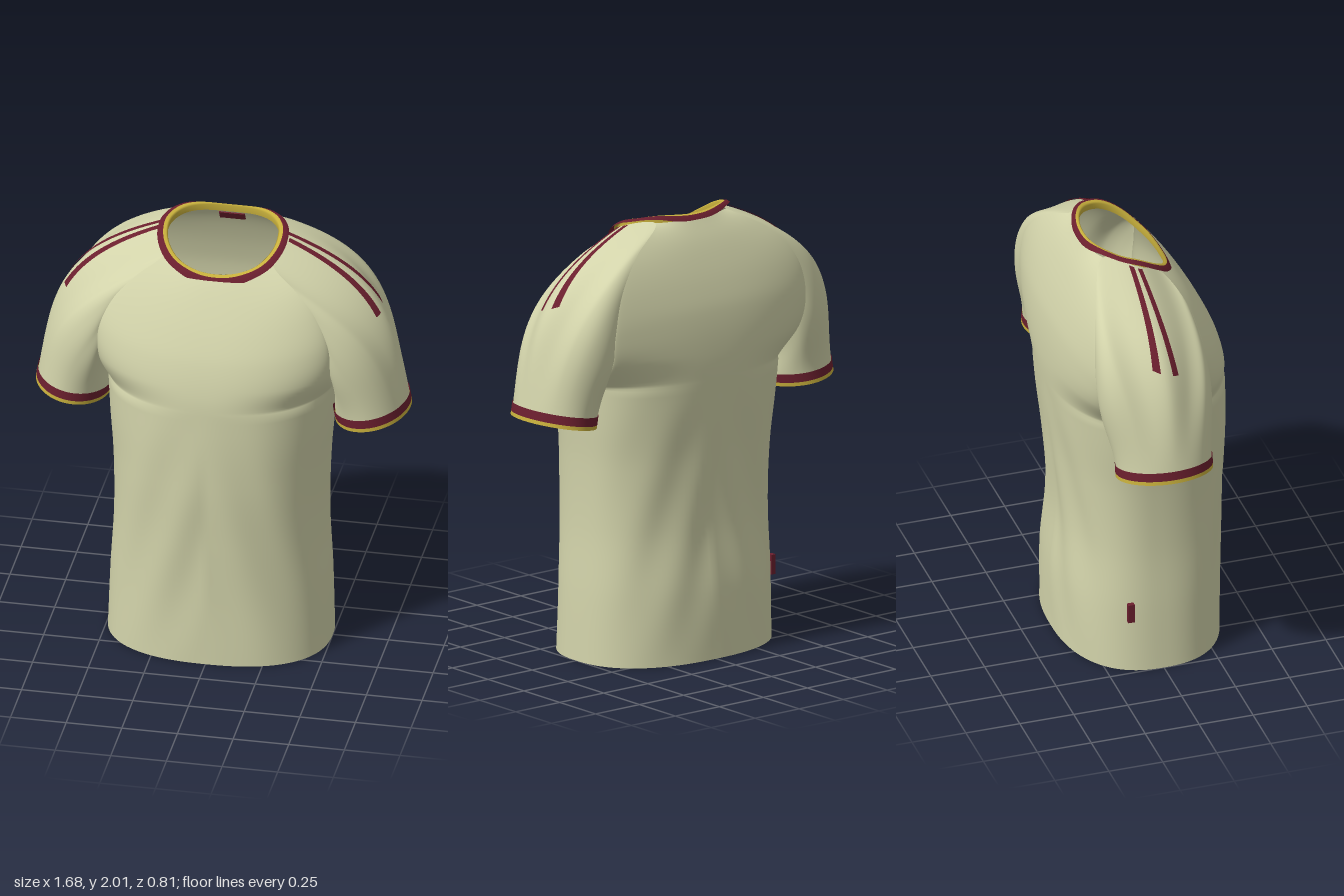
import * as THREE from 'three';
import { mergeVertices } from 'three/addons/utils/BufferGeometryUtils.js';

const V = (x, y, z) => new THREE.Vector3(x, y, z);
const lerp = THREE.MathUtils.lerp;
const cloth = new THREE.MeshStandardMaterial({ color: 0xd2d3aa, side: THREE.DoubleSide });
const red = new THREE.MeshStandardMaterial({ color: 0x6b1f2e, side: THREE.DoubleSide });
const yellow = new THREE.MeshStandardMaterial({ color: 0xc8b03c, side: THREE.DoubleSide });

// Smooth curve through [key, value] pairs
function profile(pairs) {
  const c = new THREE.CubicInterpolant(pairs.map(p => p[0]), pairs.map(p => p[1]), 1);
  return k => c.evaluate(k)[0];
}

// Positions and faces of a rows x cols sheet, f(r, c) with r and c in 0..1
function sheet(f, rows, cols, pos = [], idx = []) {
  const base = pos.length / 3, w = cols + 1;
  for (let i = 0; i <= rows; i++)
    for (let j = 0; j <= cols; j++) pos.push(...f(i / rows, j / cols).toArray());
  for (let i = 0; i < rows; i++)
    for (let j = 0; j < cols; j++) {
      const a = base + i * w + j;
      idx.push(a, a + 1, a + w, a + 1, a + w + 1, a + w);
    }
  return { pos, idx };
}

function makeMesh(name, { pos, idx }, material) {
  let g = new THREE.BufferGeometry();
  g.setAttribute('position', new THREE.Float32BufferAttribute(pos, 3));
  g.setIndex(idx);
  g = mergeVertices(g, 1e-4);
  g.computeVertexNormals();
  const m = new THREE.Mesh(g, material);
  m.name = name;
  return m;
}

// Torso profiles by height
const frontZ = profile([[0, .37], [.3, .372], [.6, .385], [.9, .4], [1.2, .402], [1.35, .393],
  [1.5, .355], [1.6, .31], [1.7, .253], [1.8, .185], [1.83, .16]]);
const backZ = profile([[0, -.365], [.3, -.36], [.6, -.34], [.9, -.355], [1.2, -.387], [1.4, -.4],
  [1.6, -.385], [1.7, -.36], [1.8, -.325], [1.9, -.28], [1.985, -.228]]);
const halfWidth = profile([[0, .5], [.3, .49], [.6, .475], [.9, .48], [1.1, .495], [1.27, .505]]);
const UNDERARM = 1.27;

// Raglan seam loop of one armhole: position, sleeve direction, matching cuff angle
const seam = [
  [V(.278, 1.958, -.05), V(.5, -.2, 0), 0],        // shoulder at the neck
  [V(.24, 1.893, .065), V(.42, -.2, .06), 20],     // front of the neck
  [V(.36, 1.8, .14), V(.32, -.2, .05), 40],
  [V(.45, 1.7, .17), V(.2, -.2, .04), 60],
  [V(.515, 1.55, .185), V(.08, -.15, .02), 85],
  [V(.52, 1.4, .16), V(.03, -.1, 0), 120],
  [V(.505, UNDERARM, -.06), V(.01, -.06, 0), 180], // underarm
  [V(.525, 1.4, -.28), V(.03, -.1, 0), 240],
  [V(.54, 1.55, -.325), V(.08, -.15, -.02), 275],
  [V(.5, 1.73, -.32), V(.2, -.17, -.04), 300],
  [V(.38, 1.88, -.275), V(.33, -.15, -.06), 320],
  [V(.2, 1.985, -.185), V(.45, -.15, -.06), 340],  // back of the neck
];
const seamCurve = new THREE.CatmullRomCurve3(seam.map(s => s[0]), true);
const tangentCurve = new THREE.CatmullRomCurve3(seam.map(s => s[1]), true);
const wrap = t => ((t % 1) + 1) % 1;

// Torso panel: rows run from neck to hem, columns from side to side
function torsoPoint(side, r, c) {
  const depth = side > 0 ? frontZ : backZ;
  const s = side * Math.cos(Math.PI * c);
  let p, yc, q = 1 / 2.4, fold = 0;
  if (r < .5) {
    const v = 1 - r * 2;
    p = seamCurve.getPoint((6 - side * 5 * v) / 12);
    yc = lerp(UNDERARM, side > 0 ? 1.83 : 1.985, v);
    q = lerp(q, 1, Math.sqrt(v));
  } else {
    const y = UNDERARM * (1 - r) * 2;
    p = V(halfWidth(y), y, lerp(0, -.06, y / UNDERARM));
    yc = y;
    fold = .006 * Math.sin(Math.PI * y / UNDERARM) * Math.sin(7 * y + 12 * Math.abs(s));
  }
  const f = Math.pow(Math.max(0, 1 - Math.pow(Math.abs(s), 2.4)), q);
  return V(p.x * s, lerp(p.y, yc, f), lerp(p.z, depth(yc) + side * fold, f));
}

// Cuff ellipse, shifted back up the arm by d and widened by grow
const armAxis = V(.167, -.986, 0);
function cuffPoint(angle, d = 0, grow = 0) {
  const k = (.165 + grow) * Math.cos(angle);
  return V(.672 + k * .986, 1.137 + k * .167, -.055 + (.215 + grow) * Math.sin(angle))
    .addScaledVector(armAxis, -d);
}

// Sleeve surface: t runs round the arm, u from seam to cuff
function sleevePoint(t, u) {
  t = wrap(t);
  const i = Math.floor(t * 12) % 12, next = i < 11 ? seam[i + 1][2] : 360;
  const angle = THREE.MathUtils.degToRad(lerp(seam[i][2], next, t * 12 - i));
  const a = seamCurve.getPoint(t), d = cuffPoint(angle);
  const b = a.clone().add(tangentCurve.getPoint(t));
  const c = d.clone().addScaledVector(armAxis, -.4 * a.distanceTo(d));
  return new THREE.CubicBezierCurve3(a, b, c, d).getPoint(u);
}

// Point of the shoulder at a given z, lifted just off the cloth
function stripePoint(z, u) {
  let lo = -1 / 12, hi = 1 / 12;
  for (let k = 0; k < 25; k++) {
    const mid = (lo + hi) / 2;
    if (sleevePoint(mid, u).z < z) lo = mid; else hi = mid;
  }
  const p = sleevePoint(lo, u), e = .004;
  const n = sleevePoint(lo + e, u).sub(p).cross(sleevePoint(lo, u + e).sub(p)).normalize();
  return p.addScaledVector(n, .005);
}

// Neck opening height by z, and a ring around it
const neckY = profile([[-.24, 1.98], [-.2, 2], [-.1, 1.985], [-.035, 1.965], [.05, 1.915],
  [.1, 1.875], [.14, 1.843], [.17, 1.808]]);
function neckPoint(angle, [rx, rz, lift]) {
  const sq = v => Math.sign(v) * Math.pow(Math.abs(v), .92);
  const z = -.035 + rz * sq(Math.sin(angle));
  return V(rx * sq(Math.cos(angle)), neckY(z) + lift, z);
}
function neckBand(name, rings, material) {
  return makeMesh(name, sheet((r, c) => neckPoint(c * Math.PI * 2,
    rings[Math.round(r * (rings.length - 1))]), rings.length - 1, 96), material);
}

function box(name, w, h, d, x, y, z, rx = 0) {
  const m = new THREE.Mesh(new THREE.BoxGeometry(w, h, d), red);
  m.position.set(x, y, z);
  m.rotation.x = rx;
  m.name = name;
  return m;
}

export function createModel() {
  const shirt = new THREE.Group();
  shirt.name = 'shirt';

  // Body, front and back joined at the side seams
  const body = sheet((r, c) => torsoPoint(1, r, c), 80, 64);
  sheet((r, c) => torsoPoint(-1, r, c), 80, 64, body.pos, body.idx);
  shirt.add(makeMesh('body', body, cloth));

  // Sleeves with cuffs and shoulder stripes
  for (const side of [1, -1]) {
    const group = new THREE.Group();
    group.name = side > 0 ? 'leftSleeve' : 'rightSleeve';
    const part = (name, f, rows, cols, material) => group.add(makeMesh(name, sheet((r, c) => {
      const p = f(r, side > 0 ? c : 1 - c);
      p.x *= side;
      return p;
    }, rows, cols), material));
    part('sleeve', (r, c) => sleevePoint(c, r), 40, 96, cloth);
    part('cuffBand', (r, c) => cuffPoint(c * Math.PI * 2, lerp(.056, .016, r), .005), 2, 72, red);
    part('cuffEdge', (r, c) => cuffPoint(c * Math.PI * 2, lerp(.016, -.001, r), .005), 1, 72, yellow);
    // back and front edge at the neck, then at the sleeve
    for (const [b0, f0, b1, f1] of [[-.056, -.036, -.028, .001], [-.09, -.07, -.113, -.081]])
      part('shoulderStripe', (r, c) =>
        stripePoint(lerp(lerp(b0, b1, r), lerp(f0, f1, r), c), lerp(.01, .48, r)), 30, 3, red);
    shirt.add(group);
  }

  // Collar: outer band and inner edge turned into the neck
  shirt.add(neckBand('collarBand', [[.266, .189, .012], [.28, .199, .01], [.292, .207, .001]], red));
  shirt.add(neckBand('collarEdge',
    [[.25, .178, -.025], [.245, .174, .004], [.252, .179, .011], [.266, .189, .012]], yellow));

  // Neck label and side tag
  shirt.add(box('neckLabel', .115, .045, .006, 0, 1.932, -.246, .55));
  shirt.add(box('sideTag', .022, .09, .03, -.488, .305, -.15));
  return shirt;
}
